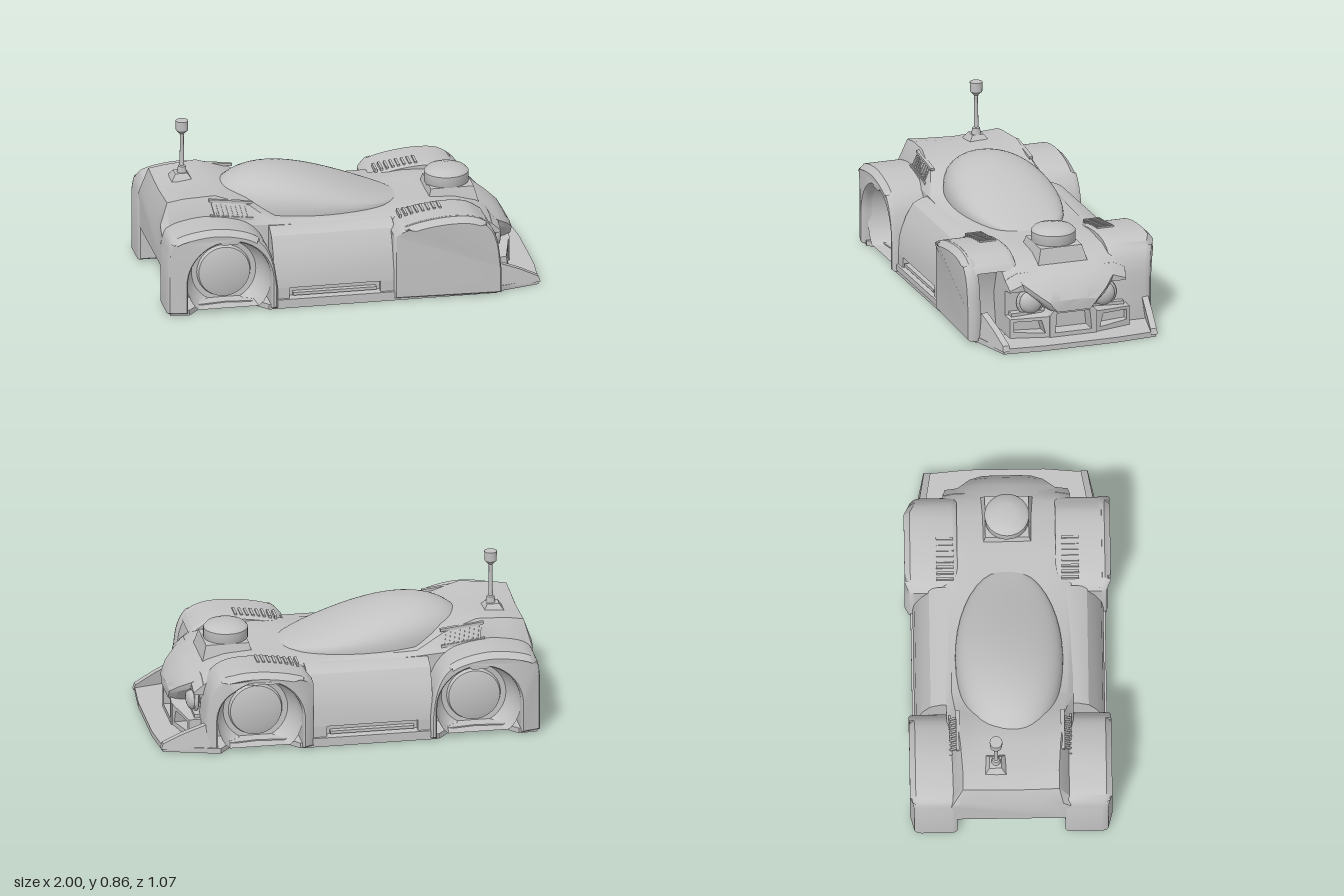
import * as THREE from 'three';
import { toCreasedNormals } from 'three/addons/utils/BufferGeometryUtils.js';

export function createModel() {
  const car = new THREE.Group();
  car.name = 'raceCar';
  const grey = new THREE.MeshStandardMaterial({ color: 0xc2c2c2, side: THREE.DoubleSide });
  grey.name = 'plainGrey';

  const add = (name, geo, crease = 0.6, parent = car) => {
    const mesh = new THREE.Mesh(toCreasedNormals(geo, crease), grey);
    mesh.name = name;
    parent.add(mesh);
    return mesh;
  };
  const box = (name, w, h, d, x, y, z, parent = car) => {
    const mesh = add(name, new THREE.BoxGeometry(w, h, d), 0.6, parent);
    mesh.position.set(x, y, z);
    return mesh;
  };
  const poly = (pts) => new THREE.Shape(pts.map(([a, b]) => new THREE.Vector2(a, b)));
  const warp = (geo, rule) => {
    const p = geo.attributes.position, v = new THREE.Vector3();
    for (let i = 0; i < p.count; i++) {
      rule(v.fromBufferAttribute(p, i));
      p.setXYZ(i, v.x, v.y, v.z);
    }
    return geo;
  };
  // Skin over mirrored cross-sections: [x, [[z, y], ...from bottom to top]]
  const loft = (sections) => {
    const pos = [], idx = [], n = sections[0][1].length * 2;
    sections.forEach(([x, half]) => {
      const ring = [...half, ...half.map(([z, y]) => [-z, y]).reverse()];
      ring.forEach(([z, y]) => pos.push(x, y, z));
    });
    const last = (sections.length - 1) * n;
    for (let s = 0; s < last; s += n) {
      for (let i = 0; i < n; i++) {
        const j = (i + 1) % n;
        idx.push(s + i, s + n + i, s + j, s + j, s + n + i, s + n + j);
      }
    }
    for (let i = 1; i < n - 1; i++) idx.push(0, i, i + 1, last, last + i + 1, last + i);
    const geo = new THREE.BufferGeometry();
    geo.setAttribute('position', new THREE.Float32BufferAttribute(pos, 3));
    geo.setIndex(idx);
    return geo;
  };
  // Extrusion along x of a shape drawn in z and y
  const alongX = (shape, x, depth) =>
    new THREE.ExtrudeGeometry(shape, { depth, bevelEnabled: false }).rotateY(Math.PI / 2).translate(x, 0, 0);

  // Floor and splitter, with bites for the open wheel wells
  const floor = new THREE.ExtrudeGeometry(poly([
    [0.98, 0.42], [0.76, 0.48], [0.74, 0.5], [-0.46, 0.5], [-0.52, 0.43], [-0.67, 0.41], [-0.82, 0.43], [-0.88, 0.5],
    [-0.98, 0.49], [-0.98, 0.33], [-0.86, 0.31], [-0.86, -0.31], [-0.98, -0.33], [-0.98, -0.49],
    [-0.88, -0.5], [-0.82, -0.43], [-0.67, -0.41], [-0.52, -0.43], [-0.46, -0.5], [0.27, -0.5], [0.33, -0.43],
    [0.48, -0.41], [0.63, -0.43], [0.69, -0.5], [0.74, -0.49], [0.76, -0.48], [0.98, -0.42], [1, -0.2], [1, 0.2],
  ]), { depth: 0.028, bevelEnabled: false });
  floor.rotateX(Math.PI / 2).translate(0, 0.028, 0);
  add('floorAndSplitter', floor);

  // Central tub: x, bottom y, side z, shoulder y, deck edge z, deck edge y, centre y
  const tub = [
    [-0.99, 0.2, 0.31, 0.38, 0.27, 0.42, 0.42], [-0.95, 0.2, 0.31, 0.41, 0.25, 0.535, 0.52],
    [-0.86, 0.2, 0.32, 0.42, 0.25, 0.55, 0.535], [-0.85, 0.02, 0.32, 0.42, 0.25, 0.55, 0.535],
    [-0.7, 0.02, 0.33, 0.42, 0.26, 0.56, 0.55], [-0.52, 0.02, 0.33, 0.41, 0.28, 0.5, 0.52],
    [-0.38, 0.02, 0.33, 0.4, 0.3, 0.42, 0.44], [0.2, 0.02, 0.33, 0.385, 0.3, 0.4, 0.405],
    [0.4, 0.02, 0.33, 0.41, 0.28, 0.42, 0.415], [0.6, 0.02, 0.33, 0.405, 0.28, 0.41, 0.4],
    [0.7, 0.02, 0.33, 0.36, 0.28, 0.38, 0.38], [0.75, 0.02, 0.33, 0.32, 0.27, 0.35, 0.355],
    [0.752, 0.265, 0.33, 0.32, 0.27, 0.35, 0.355], [0.8, 0.265, 0.32, 0.275, 0.25, 0.3, 0.33],
  ];
  add('mainBody', loft(tub.map(([x, yb, zs, sy, dz, dy, cy]) =>
    [x, [[zs, yb], [zs, sy], [dz, dy], [dz * 0.55, (dy + cy) / 2], [0, cy]]])), 0.5);

  // Sloping nose beak between the headlights
  add('noseBeak', loft([
    [0.72, [[0.13, 0.15], [0.27, 0.29], [0.28, 0.36], [0.13, 0.37], [0, 0.37]]],
    [0.8, [[0.12, 0.16], [0.24, 0.27], [0.25, 0.305], [0.13, 0.335], [0, 0.335]]],
    [0.86, [[0.11, 0.16], [0.18, 0.23], [0.19, 0.26], [0.1, 0.285], [0, 0.285]]],
    [0.895, [[0.09, 0.165], [0.12, 0.2], [0.13, 0.215], [0.07, 0.225], [0, 0.225]]],
  ]), 0.5);

  // Teardrop canopy, tallest towards the back, with full shoulders
  add('canopy', warp(new THREE.SphereGeometry(1, 40, 24, 0, Math.PI * 2, 0, Math.PI / 2), (v) => {
    const n = v.x, w = Math.sqrt(Math.max(1 - n * n, 1e-8));
    const rise = w * Math.pow(Math.min(Math.max(v.y / w, 0), 1), 0.7);
    v.set(-0.185 + 0.5 * n, 0.4 + rise * (0.178 - 0.13 * n - 0.02 * n * n), 0.28 * v.z);
  }), 1.2);

  // Fender profiles in x and y
  const rearTop = [[-0.97, 0.41], [-0.88, 0.45], [-0.72, 0.465], [-0.56, 0.43], [-0.48, 0.365], [-0.435, 0.26], [-0.415, 0.12]];
  const frontTop = [[0.25, 0.4], [0.36, 0.43], [0.5, 0.445], [0.62, 0.435], [0.7, 0.39]];
  const frontNose = [[0.745, 0.3], [0.765, 0.15]];
  const wheelR = 0.22, wheelY = 0.175;
  const profile = (start, top, end, archX) => {
    const s = new THREE.Shape();
    s.moveTo(start[0], 0.01).lineTo(start[0], start[1]);
    s.splineThru(top.map(([x, y]) => new THREE.Vector2(x, y)));
    end.forEach(([x, y]) => s.lineTo(x, y));
    if (archX !== undefined) {
      s.lineTo(archX + wheelR, 0.01).lineTo(archX + wheelR, wheelY);
      s.absarc(archX, wheelY, wheelR, 0, Math.PI, false);
      s.lineTo(archX - wheelR, 0.01);
    }
    return s;
  };
  // Fender slab with a sloped outer shoulder and corners drawn in at its ends
  const fender = (name, shape, z0, z1, side, noseTaper = 0) => {
    const bevel = 0.03;
    const geo = new THREE.ExtrudeGeometry(shape, {
      depth: z1 - z0 - bevel, bevelThickness: bevel, bevelSize: 0.01, bevelOffset: -0.01,
      bevelSegments: 2, curveSegments: 20,
    }).translate(0, 0, z0);
    warp(geo, ({ x, y, z }) => ({ x, y, z }));
    return geo;
  };
  const addFender = (name, shape, z0, z1, side, noseTaper = 0) => {
    const bevel = 0.03;
    const geo = new THREE.ExtrudeGeometry(shape, {
      depth: z1 - z0 - bevel, bevelThickness: bevel, bevelSize: 0.01, bevelOffset: -0.01,
      bevelSegments: 2, curveSegments: 20,
    }).translate(0, 0, z0);
    warp(geo, (v) => {
      if (v.z > z1 - 0.01 && v.y > 0.4) v.y -= 0.02;
      if (v.z > z1 - 0.05) {
        const rear = v.x < 0 ? Math.max(0, -0.94 - v.x) : Math.max(0, 0.25 - v.x);
        v.z -= Math.max(0, v.x - 0.62) * noseTaper + rear * 0.5;
      }
    });
    add(name, geo, 0.7).scale.z = side;
  };
  // Wheel well bowl with its shallow wheel disc
  const wheelWell = (name, x, side) => {
    const pts = [[0, 0.38], [0.1, 0.375], [0.135, 0.365], [0.142, 0.342], [0.17, 0.345], [0.205, 0.4], [0.225, 0.49]];
    const geo = new THREE.LatheGeometry(pts.map(([r, y]) => new THREE.Vector2(r, y)), 40);
    geo.rotateX(Math.PI / 2).translate(x, wheelY, 0);
    warp(geo, (v) => { v.y = Math.max(v.y, 0.022); });
    add(name, geo, 0.5).scale.z = side;
  };

  for (const side of [1, -1]) {
    addFender('rearFender', profile([-0.995, 0.33], rearTop, [[-0.415, 0.01]], -0.67), 0.31, 0.525, side);
    wheelWell('rearWheelWell', -0.67, side);
  }
  // One front wheel shows from the side; the other hides behind a skirt and opens forward
  addFender('openFrontFender', profile([0.2, 0.36], [...frontTop, ...frontNose], [[0.765, 0.01]], 0.48), 0.29, 0.535, -1, 0.5);
  wheelWell('frontWheelWell', 0.48, -1);
  addFender('frontSkirt', profile([0.2, 0.36], [...frontTop, ...frontNose], [[0.765, 0.01]]), 0.495, 0.535, 1);
  addFender('coveredFrontFender', profile([0.2, 0.36], frontTop,
    [[0.72, 0.36], [0.63, 0.35], [0.58, 0.2], [0.61, 0.03], [0.76, 0.03], [0.76, 0.01]]), 0.28, 0.52, 1);

  for (const side of [1, -1]) {
    const half = new THREE.Group();
    half.name = side > 0 ? 'frontSideDetails' : 'backSideDetails';
    half.scale.z = side;
    car.add(half);

    // Door panel with a recessed sill slot
    add('doorPanel', alongX(poly([
      [-0.3, 0.02], [-0.505, 0.02], [-0.505, 0.05], [-0.46, 0.055], [-0.46, 0.1], [-0.495, 0.11],
      [-0.485, 0.2], [-0.45, 0.3], [-0.41, 0.37], [-0.36, 0.395], [-0.3, 0.4],
    ]), -0.43, 0.65), 0.5, half);
    box('sillBar', 0.44, 0.016, 0.03, -0.11, 0.072, 0.475, half);
    box('sillEndRear', 0.08, 0.06, 0.04, -0.39, 0.08, 0.473, half);
    box('sillEndFront', 0.08, 0.06, 0.04, 0.17, 0.08, 0.473, half);

    // Slatted vents on the engine cover flank and the front fender
    for (let i = 0; i < 8; i++) {
      const slat = box('engineVentSlat', 0.012, 0.075, 0.02, -0.71 + i * 0.025, 0.49 - i * 0.003, 0.292, half);
      slat.rotation.set(-0.5, 0, 0.2);
      const x = 0.26 + i * 0.03;
      box('fenderVentSlat', 0.013, 0.02, 0.09, x, 0.413 + 0.13 * (x - 0.25), 0.325, half);
    }
    box('engineVentRail', 0.23, 0.014, 0.02, -0.62, 0.527, 0.272, half).rotation.z = -0.12;
    box('engineVentLedge', 0.23, 0.014, 0.02, -0.62, 0.452, 0.308, half).rotation.z = -0.12;

    // Shallow headlight in its rim
    const lamp = add('headlight', new THREE.SphereGeometry(0.062, 24, 16), 1, half);
    lamp.scale.x = 0.6;
    lamp.position.set(0.785, 0.2, 0.2);
    const rim = add('headlightRim', new THREE.TorusGeometry(0.065, 0.012, 8, 28), 1, half);
    rim.rotation.y = Math.PI / 2;
    rim.position.set(0.775, 0.2, 0.2);

    // Swept-back side grille
    const sideGrille = poly([[-0.12, 0.02], [-0.33, 0.02], [-0.33, 0.13], [-0.14, 0.14], [-0.12, 0.15]]);
    sideGrille.holes.push(poly([[-0.15, 0.05], [-0.31, 0.06], [-0.31, 0.115], [-0.17, 0.12]]));
    add('sideGrille', warp(alongX(sideGrille, 0.78, 0.1), (v) => { v.x -= (v.z - 0.12) * 0.25; }), 0.6, half);

    // Splitter end plate
    const fin = new THREE.ExtrudeGeometry(
      poly([[0, 0], [0.245, 0], [0.235, 0.03], [0.13, 0.085], [0, 0.14]]),
      { depth: 0.035, bevelEnabled: false });
    warp(fin, (v) => { v.set(v.x + 0.745, v.y + 0.015, v.z + 0.445 - v.x * 0.22 - v.y * 0.15); });
    add('splitterEndPlate', fin, 0.6, half);
  }

  // Centre grille under the beak
  const centreGrille = poly([[-0.13, 0.02], [0.13, 0.02], [0.13, 0.145], [0.11, 0.17], [-0.11, 0.17], [-0.13, 0.145]]);
  centreGrille.holes.push(poly([[-0.1, 0.05], [0.1, 0.05], [0.09, 0.155], [-0.09, 0.155]]));
  add('centreGrille', alongX(centreGrille, 0.78, 0.105));
  box('grilleBack', 0.06, 0.13, 0.62, 0.765, 0.085, 0);

  // Round hood turret on a tapered square base
  const base = new THREE.CylinderGeometry(0.16, 0.195, 0.09, 4).rotateY(Math.PI / 4);
  add('turretBase', base).position.set(0.585, 0.405, 0);
  const dome = [[0.105, 0], [0.116, 0.02], [0.116, 0.075], [0.1, 0.092], [0.05, 0.103], [0, 0.105]];
  add('turret', new THREE.LatheGeometry(dome.map(([r, y]) => new THREE.Vector2(r, y)), 32), 0.7)
    .position.set(0.575, 0.43, 0);

  // Antenna with a cup-shaped head
  const foot = new THREE.CylinderGeometry(0.045, 0.078, 0.035, 4).rotateY(Math.PI / 4);
  add('antennaBase', foot).position.set(-0.815, 0.555, -0.08);
  const mast = [[0.025, 0], [0.02, 0.035], [0.012, 0.04], [0.01, 0.2], [0.012, 0.215], [0.032, 0.235], [0.033, 0.287], [0, 0.287]];
  add('antenna', new THREE.LatheGeometry(mast.map(([r, y]) => new THREE.Vector2(r, y)), 20))
    .position.set(-0.807, 0.57, -0.077);
  return car;
}
